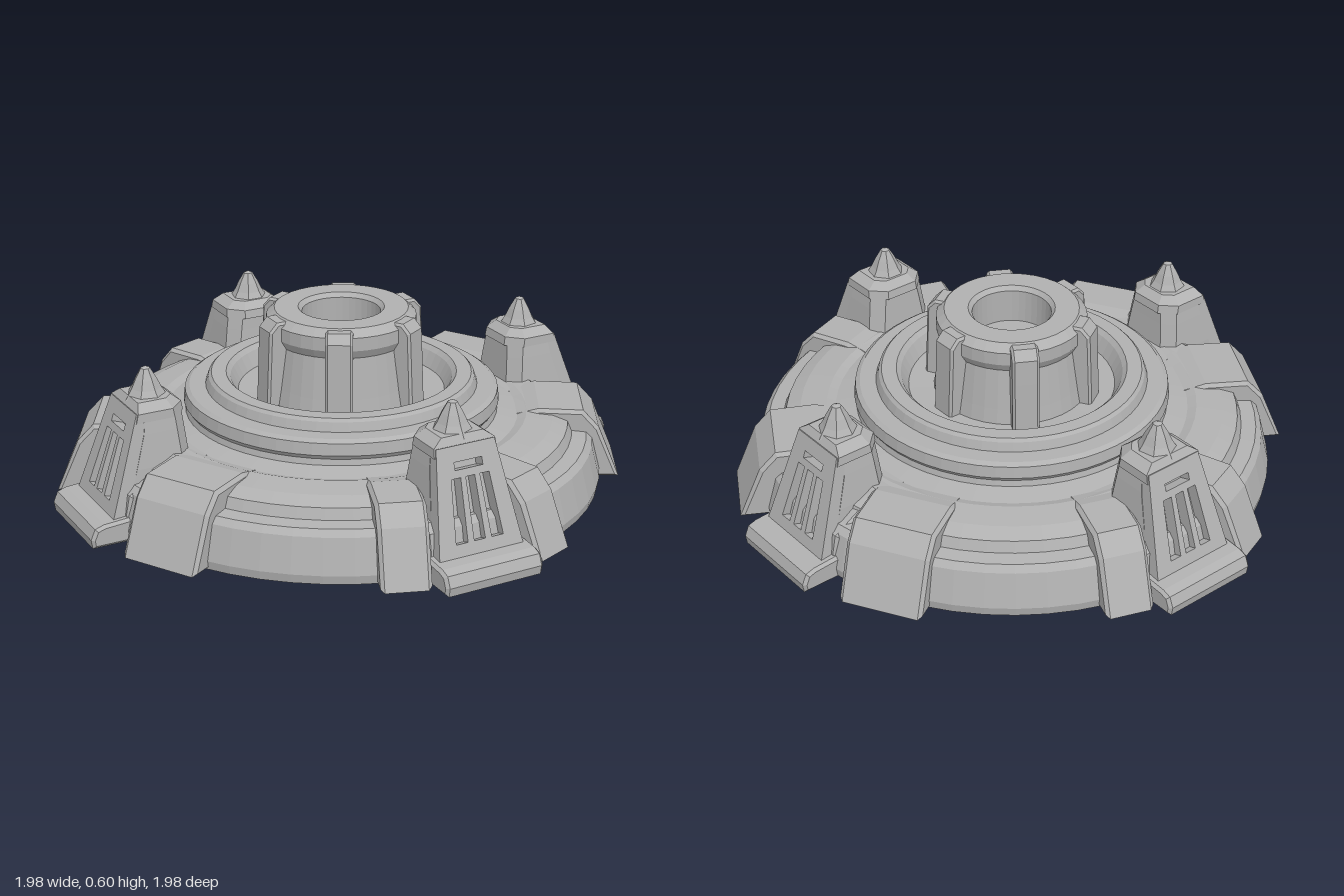
import * as THREE from 'three';

const stone = new THREE.MeshStandardMaterial({ color: 0xb0b0b0, flatShading: true });
stone.name = 'grey stone';

function add(parent, name, geometry) {
  const mesh = new THREE.Mesh(geometry, stone);
  mesh.name = name;
  parent.add(mesh);
  return mesh;
}

const points = (list) => list.map(([x, y]) => new THREE.Vector2(x, y));
const lathe = (list, sides) => new THREE.LatheGeometry(points(list), sides);

// Closed solid through horizontal sections: [y, inner z, outer z, half width, inner corner chamfer]
function loft(sections) {
  const pos = [], idx = [], n = 6;
  for (const [y, zi, zo, w, c] of sections) {
    pos.push(-w, y, zo, w, y, zo, w, y, zi + c, w - c, y, zi, c - w, y, zi, -w, y, zi + c);
  }
  for (let s = 0; s < sections.length - 1; s++) {
    for (let i = 0; i < n; i++) {
      const a = s * n + i, b = s * n + (i + 1) % n;
      idx.push(a, b, b + n, a, b + n, a + n);
    }
  }
  const top = (sections.length - 1) * n;
  for (let i = 1; i < n - 1; i++) idx.push(0, i + 1, i, top, top + i, top + i + 1);
  const g = new THREE.BufferGeometry();
  g.setAttribute('position', new THREE.Float32BufferAttribute(pos, 3));
  g.setIndex(idx);
  g.computeVertexNormals();
  return g;
}

// Radial side profile (distance, height) extruded across a width, facing +z
function radialBlock(profile, width, bevel = 0.01) {
  const g = new THREE.ExtrudeGeometry(new THREE.Shape(points(profile)), {
    depth: width - 2 * bevel, bevelEnabled: bevel > 0, bevelSize: bevel, bevelOffset: -bevel,
    bevelThickness: bevel, bevelSegments: 1,
  });
  g.translate(0, 0, -(width - 2 * bevel) / 2);
  g.rotateY(-Math.PI / 2);
  return g;
}

// Sloping tower face with three tall slots and a short slit above
function towerFace() {
  const shape = new THREE.Shape(points([[-0.155, 0], [0.155, 0], [0.105, 0.37], [-0.105, 0.37]]));
  const hole = (x0, x1, y0, y1, taper) => shape.holes.push(new THREE.Path(points([
    [x0, y0], [x0 * taper, y1], [x1 * taper, y1], [x1, y0]])));
  hole(-0.085, -0.043, 0.07, 0.27, 0.8);
  hole(-0.02, 0.02, 0.07, 0.27, 0.8);
  hole(0.043, 0.085, 0.07, 0.27, 0.8);
  hole(-0.05, 0.05, 0.295, 0.32, 1);
  return new THREE.ExtrudeGeometry(shape, { depth: 0.045, bevelEnabled: false });
}

const BUTTRESS = [[0.57, 0.01], [0.57, 0.23], [0.67, 0.255], [0.82, 0.25], [0.875, 0.19], [0.95, 0.01]];

function quarter(wide) {
  const g = new THREE.Group();
  g.name = 'towerStation';

  // Tower
  add(g, 'towerBody', loft([
    [0.01, 0.6, 0.87, 0.145, 0.04], [0.22, 0.61, 0.81, 0.13, 0.04],
    [0.33, 0.62, 0.775, 0.115, 0.04], [0.39, 0.625, 0.765, 0.105, 0.04]]));
  const face = add(g, 'towerFace', towerFace());
  face.position.set(0, 0.035, 0.872);
  face.rotation.x = -0.33;
  add(g, 'towerCap', loft([
    [0.37, 0.615, 0.798, 0.112, 0.05], [0.4, 0.62, 0.79, 0.11, 0.05],
    [0.425, 0.65, 0.775, 0.075, 0.03]]));
  const spike = add(g, 'towerSpike', lathe(
    [[0.072, 0.41], [0.05, 0.445], [0.036, 0.475], [0.016, 0.51], [0, 0.517]], 7));
  spike.position.z = 0.715;

  // Foot and shoulder
  add(g, 'towerFoot', radialBlock(
    [[0.8, 0], [0.8, 0.085], [0.945, 0.075], [0.975, 0.065], [0.99, 0.03], [0.985, 0]], 0.35));
  add(g, 'towerShoulder', radialBlock(
    [[0.57, 0.05], [0.57, 0.235], [0.68, 0.25], [0.77, 0.2], [0.85, 0.15], [0.87, 0.05]], 0.33));

  // Buttress on each side
  for (const side of [-1, 1]) {
    const b = add(g, 'buttress', radialBlock(BUTTRESS, wide ? 0.28 : 0.16, 0.012));
    const yaw = side * (wide ? 0.52 : 0.35), shift = -side * (wide ? 0.08 : 0.06);
    b.rotation.y = yaw;
    b.position.set(Math.cos(yaw) * shift, 0, -Math.sin(yaw) * shift);
  }
  return g;
}

export function createModel() {
  const model = new THREE.Group();
  model.name = 'towerBase';

  // Stepped round platform with a moat around the hub
  add(model, 'platform', lathe([
    [0, 0.01], [0.88, 0.01], [0.885, 0.04], [0.855, 0.155], [0.835, 0.175], [0.785, 0.18],
    [0.77, 0.215], [0.72, 0.235], [0.63, 0.245], [0.6, 0.235], [0.53, 0.25], [0.525, 0.27],
    [0.535, 0.285], [0.53, 0.325], [0.515, 0.335], [0.46, 0.335], [0.45, 0.365], [0.44, 0.375],
    [0.39, 0.375], [0.375, 0.36], [0.35, 0.31], [0.2, 0.305]], 56));

  // Hub with a bore
  add(model, 'hub', lathe([
    [0.265, 0.3], [0.255, 0.36], [0.235, 0.5], [0.252, 0.53], [0.252, 0.575], [0.225, 0.6],
    [0.145, 0.6], [0.132, 0.585], [0.13, 0.47], [0, 0.47]], 36));
  for (let i = 0; i < 6; i++) {
    const rib = add(model, 'hubRib', radialBlock(
      [[0.2, 0.3], [0.2, 0.595], [0.26, 0.595], [0.288, 0.565], [0.292, 0.48], [0.3, 0.3]], 0.09, 0.008));
    rib.rotation.y = Math.PI / 2 + i * Math.PI / 3;
  }

  // Four towers
  for (let i = 0; i < 4; i++) {
    const q = quarter(i % 2 === 1);
    q.rotation.y = i * Math.PI / 2;
    model.add(q);
  }
  return model;
}
